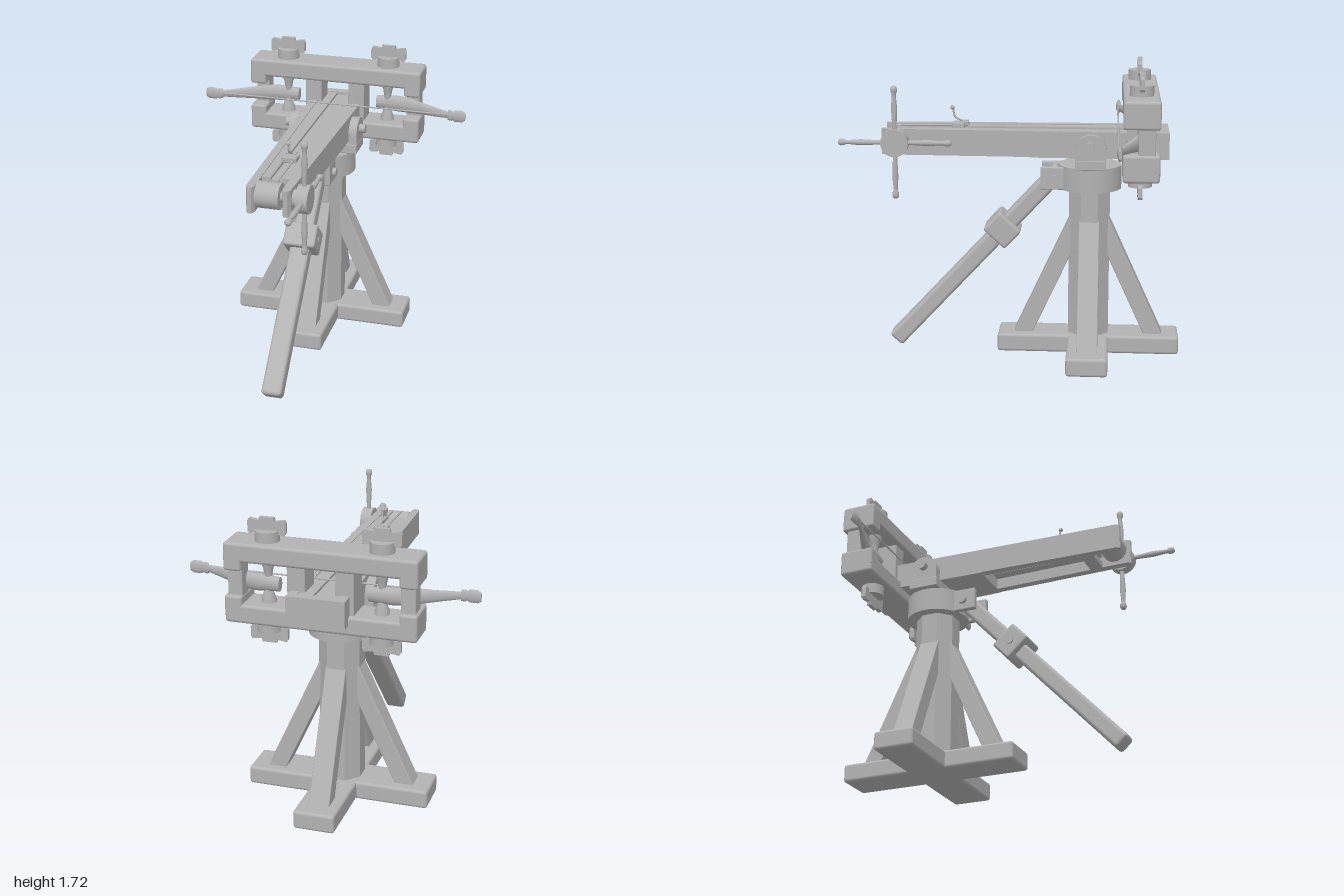
import * as THREE from 'three';
import { RoundedBoxGeometry } from 'three/addons/geometries/RoundedBoxGeometry.js';

const V = (x, y, z) => new THREE.Vector3(x, y, z);

export function createModel() {
  const root = new THREE.Group();
  root.name = 'torsionBoltThrower';
  const grey = new THREE.MeshStandardMaterial({ color: 0xb2b2b2 });
  grey.name = 'plainGrey';
  const CZ = -0.46; // stand axis
  const HZ = -0.747; // bow frame axis

  const add = (name, geo, x = 0, y = 0, z = 0) => {
    const m = new THREE.Mesh(geo, grey);
    m.name = name;
    m.position.set(x, y, z);
    root.add(m);
    return m;
  };
  // rounded block given by its limits
  const block = (name, x0, x1, y0, y1, z0, z1, r = 0.012) =>
    add(name, new RoundedBoxGeometry(x1 - x0, y1 - y0, z1 - z0, 2, r),
      (x0 + x1) / 2, (y0 + y1) / 2, (z0 + z1) / 2);
  // rounded beam between two points
  const beam = (name, a, b, w, d, r) => {
    const dir = b.clone().sub(a);
    const m = add(name, new RoundedBoxGeometry(w, dir.length(), d, 3, r));
    m.position.copy(a).add(b).multiplyScalar(0.5);
    m.quaternion.setFromUnitVectors(V(0, 1, 0), dir.normalize());
    return m;
  };
  // cylinder along x
  const pin = (name, x0, x1, y, z, r, sides = 32) =>
    add(name, new THREE.CylinderGeometry(r, r, Math.abs(x1 - x0), sides).rotateZ(Math.PI / 2), (x0 + x1) / 2, y, z);
  // flat slab from a plan outline in x and z
  const slab = (name, plan, y0, y1) => {
    const shape = new THREE.Shape(plan.map(([x, z]) => new THREE.Vector2(x, z)));
    const geo = new THREE.ExtrudeGeometry(shape, { depth: y1 - y0, bevelEnabled: false });
    return add(name, geo.rotateX(Math.PI / 2), 0, y1, 0);
  };
  const tube = (name, pts, r) =>
    add(name, new THREE.TubeGeometry(new THREE.CatmullRomCurve3(pts), 20, r, 8));

  // Stand: crossed feet, octagonal post, four braces, collar
  block('footBeamAcross', -0.54, 0.54, 0.005, 0.115, CZ - 0.12, CZ + 0.12, 0.018);
  block('footBeamAlong', -0.12, 0.12, 0.005, 0.115, CZ - 0.54, CZ + 0.54, 0.018);
  const post = new THREE.CylinderGeometry(0.13, 0.13, 0.95, 8).rotateY(Math.PI / 8).toNonIndexed();
  post.computeVertexNormals();
  add('post', post, 0, 0.555, CZ);
  for (const s of [-1, 1]) {
    beam('sideBrace', V(s * 0.42, 0.04, CZ), V(s * 0.07, 0.80, CZ), 0.1, 0.12, 0.006);
    beam('lengthBrace', V(0, 0.04, CZ + s * 0.42), V(0, 0.80, CZ + s * 0.07), 0.12, 0.1, 0.006);
  }
  add('collar', new THREE.CylinderGeometry(0.185, 0.185, 0.14, 48), 0, 1.07, CZ);

  // Prop leg hinged on the collar
  const hinge = V(0, 1.068, -0.25), foot = V(0, 0.038, 0.706);
  const along = foot.clone().sub(hinge).normalize();
  beam('propLeg', hinge.clone().addScaledVector(along, -0.06), foot, 0.12, 0.1, 0.022);
  const sleeve = V(0, 0.745, 0.054);
  beam('legSleeve', sleeve.clone().addScaledVector(along, -0.073),
    sleeve.clone().addScaledVector(along, 0.073), 0.195, 0.175, 0.016);
  pin('sleeveBolt', -0.108, 0.102, 0.745, 0.054, 0.022, 16);
  pin('hingePin', -0.125, 0.125, 1.065, -0.25, 0.026, 24);
  for (const s of [-1, 1]) {
    const x = s * 0.085;
    block('hingePlate', x - 0.018, x + 0.018, 1.0, 1.135, -0.4, -0.172, 0.008);
  }

  // Swivel fork that carries the stock
  block('forkBase', -0.215, 0.215, 1.14, 1.2, CZ - 0.092, CZ + 0.085, 0.006);
  const ear = new THREE.Shape();
  ear.moveTo(-0.088, 1.15);
  ear.lineTo(0.088, 1.15);
  ear.lineTo(0.088, 1.257);
  ear.absarc(0, 1.257, 0.088, 0, Math.PI, false);
  const earGeo = new THREE.ExtrudeGeometry(ear, { depth: 0.05, bevelEnabled: false, curveSegments: 20 })
    .rotateY(Math.PI / 2);
  for (const s of [-1, 1]) {
    add('forkEar', earGeo, s > 0 ? 0.163 : -0.213, 0, -0.466);
    pin('forkBolt', s * 0.2, s * 0.25, 1.28, -0.462, 0.027, 24);
  }

  // Tapered stock: side rails, channelled deck, solid rear
  const W = z => 0.143 - 0.024 * z;
  const zb = -0.915, zf = 0.755;
  for (const s of [-1, 1]) {
    slab('stockRail', [[s * (W(zb) - 0.047), zb], [s * W(zb), zb], [s * W(0.73), 0.73], [s * (W(zf) - 0.012), zf],
      [s * (W(zf) - 0.035), zf], [s * (W(0.73) - 0.047), 0.73]], 1.203, 1.355);
    slab('deckBoard', [[s * 0.032, zb], [s * (W(zb) - 0.045), zb], [s * (W(0.58) - 0.045), 0.58], [s * 0.032, 0.58]], 1.27, 1.35);
  }
  slab('channelFloor', [[-0.04, zb], [0.04, zb], [0.04, 0.58], [-0.04, 0.58]], 1.272, 1.335);
  slab('rearStock', [[-W(zb), zb], [W(zb), zb], [W(-0.11), -0.11], [-W(-0.11), -0.11]], 1.2, 1.33);
  slab('stockEnd', [[-W(zb), zb], [W(zb), zb], [W(-0.86), -0.86], [-W(-0.86), -0.86]], 1.2, 1.355);
  block('crossTie', -0.11, 0.11, 1.203, 1.245, 0.5, 0.58, 0.006);

  // Winch: drum, hub and four turned spokes
  const WY = 1.285, WZ = 0.668;
  pin('winchDrum', -0.08, 0.055, WY, WZ, 0.074, 40);
  pin('winchShaft', -0.115, 0.2, WY, WZ, 0.03, 24);
  pin('winchFlange', 0.125, 0.145, WY, WZ, 0.05, 32);
  pin('winchHub', 0.152, 0.218, WY, WZ, 0.08, 40);
  const spoke = new THREE.LatheGeometry([[0.012, 0.05], [0.014, 0.12], [0.018, 0.2], [0.013, 0.26], [0.012, 0.285],
    [0.019, 0.297], [0.02, 0.315], [0.014, 0.328], [0, 0.333]].map(p => new THREE.Vector2(...p)), 16);
  for (let i = 0; i < 4; i++) add('winchSpoke', spoke, 0.184, WY, WZ).rotation.x = i * Math.PI / 2;

  // Claw slider with curled trigger and draw ropes
  block('clawSlider', -0.045, 0.045, 1.345, 1.38, 0.275, 0.35, 0.006);
  tube('trigger', [V(0, 1.378, 0.28), V(0, 1.39, 0.3), V(0, 1.41, 0.335), V(0, 1.465, 0.348)], 0.006);
  add('triggerKnob', new THREE.SphereGeometry(0.013, 16, 10), 0, 1.465, 0.35);
  for (const s of [-1, 1]) {
    tube('drawRope', [V(s * 0.027, 1.36, 0.665), V(s * 0.027, 1.362, 0.5), V(s * 0.027, 1.365, 0.31)], 0.006);
    block('clawFinger', s * 0.02 - 0.008, s * 0.02 + 0.008, 1.36, 1.388, 0.255, 0.3, 0.004);
  }

  // Bow frame: two long beams with lugs, end posts and middle posts
  const F0 = -0.852, F1 = -0.645;
  block('upperFrameBeam', -0.54, 0.54, 1.488, 1.597, F0, F1, 0.018);
  block('lowerFrameBeam', -0.54, 0.54, 1.14, 1.248, F0, F1, 0.018);
  for (const s of [-1, 1]) {
    const span = (name, a, b, ...rest) => block(name, Math.min(s * a, s * b), Math.max(s * a, s * b), ...rest);
    span('upperLug', 0.44, 0.54, 1.438, 1.56, F0, F1, 0.014);
    span('lowerLug', 0.44, 0.54, 1.18, 1.295, F0, F1, 0.014);
    span('endPost', 0.443, 0.525, 1.25, 1.48, -0.825, -0.73, 0.006);
    span('middlePost', 0.085, 0.187, 1.2, 1.52, -0.825, -0.67, 0.006);
  }

  // Torsion skeins with washers and tightening levers
  const skein = new THREE.LatheGeometry([[0.044, 1.2], [0.042, 1.26], [0.028, 1.3], [0.021, 1.34], [0.02, 1.37],
    [0.021, 1.4], [0.028, 1.44], [0.042, 1.48], [0.044, 1.54]].map(p => new THREE.Vector2(...p)), 28);
  const key = new THREE.Shape([[-0.045, 0], [0.045, 0], [0.045, 0.01], [0.098, 0], [0.108, 0.015], [0.108, 0.07], [0.098, 0.085],
    [0.045, 0.076], [0.04, 0.096], [-0.04, 0.096], [-0.045, 0.076], [-0.098, 0.085], [-0.108, 0.07], [-0.108, 0.015],
    [-0.098, 0], [-0.045, 0.01]].map(p => new THREE.Vector2(...p)));
  const keyGeo = new THREE.ExtrudeGeometry(key, { depth: 0.026, bevelEnabled: false }).translate(0, 0, -0.013);
  for (const s of [-1, 1]) {
    const x = s * 0.32;
    add('torsionSkein', skein, x, 0, HZ);
    for (const up of [1, -1]) {
      add('washer', new THREE.CylinderGeometry(0.068, 0.068, 0.07, 36), x, 1.368 + up * 0.253, HZ);
      const lever = add('tighteningLever', keyGeo, x, 1.368 + up * 0.262, HZ);
      if (up < 0) lever.rotation.z = Math.PI;
    }
  }

  // Curved bow arms: stations of [x, z, half height, half depth]
  const stations = [[0.25, -0.755, 0.04, 0.03], [0.38, -0.75, 0.05, 0.032], [0.46, -0.735, 0.048, 0.028], [0.55, -0.7, 0.038, 0.02],
    [0.64, -0.663, 0.029, 0.015], [0.72, -0.633, 0.021, 0.011], [0.722, -0.632, 0.032, 0.013], [0.745, -0.627, 0.034, 0.013],
    [0.75, -0.626, 0.026, 0.011], [0.765, -0.625, 0.037, 0.014], [0.81, -0.627, 0.037, 0.014], [0.828, -0.629, 0.025, 0.009]];
  for (const s of [-1, 1]) {
    const geo = new THREE.CylinderGeometry(1, 1, stations.length - 1, 20, stations.length - 1).rotateZ(-s * Math.PI / 2);
    const p = geo.attributes.position;
    for (let i = 0; i < p.count; i++) {
      const k = Math.round(s * p.getX(i) + (stations.length - 1) / 2);
      const [x, z, h, d] = stations[k];
      p.setXYZ(i, s * x, 1.355 + h * p.getY(i), z + d * p.getZ(i));
    }
    geo.computeVertexNormals();
    add('bowArm', geo);
  }
  pin('bowstring', -0.76, 0.76, 1.36, -0.622, 0.005, 8);

  return root;
}
